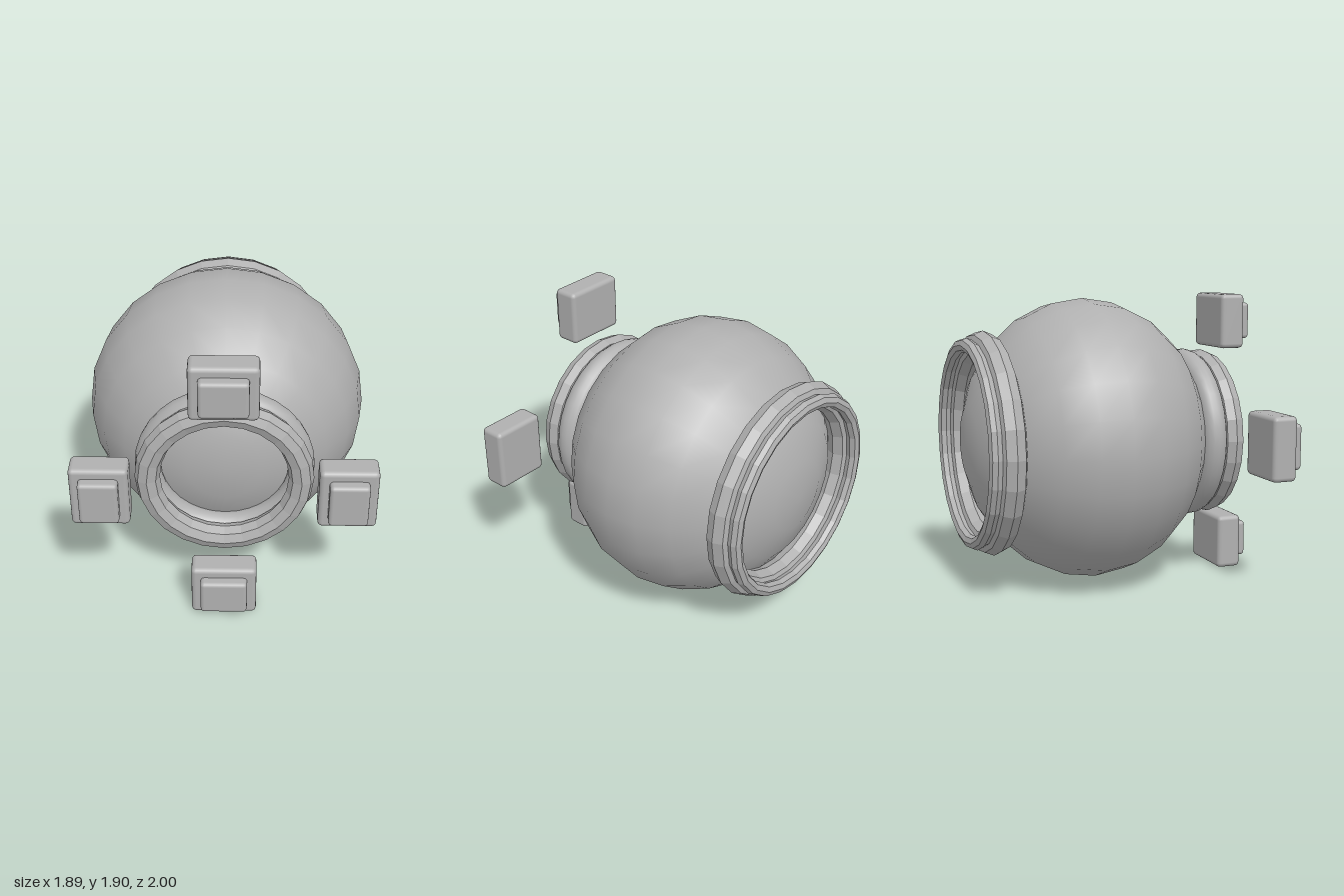
import * as THREE from 'three';
import { RoundedBoxGeometry } from 'three/addons/geometries/RoundedBoxGeometry.js';

const CY = 0.957; // height of the main axis

export function createModel() {
  const model = new THREE.Group();
  model.name = 'sphericalPod';

  const grey = new THREE.MeshStandardMaterial({ color: 0xb0b0b0 });
  grey.name = 'grey';
  // same grey, faceted for the bevelled collars
  const facetedGrey = new THREE.MeshStandardMaterial({ color: 0xb0b0b0, flatShading: true });
  facetedGrey.name = 'faceted grey';

  const add = (name, geometry, material, x, y, z, parent = model) => {
    const mesh = new THREE.Mesh(geometry, material);
    mesh.name = name;
    mesh.position.set(x, y, z);
    parent.add(mesh);
    return mesh;
  };

  // Body: sphere with its poles on z, flattened front to back
  const body = new THREE.SphereGeometry(0.93, 24, 12);
  body.rotateX(Math.PI / 2);
  body.scale(1, 1, 0.87);
  add('body', body, grey, 0, CY, -0.17);

  // Front collar: a soft ring behind an octagonal one
  add('frontSoftRing', new THREE.TorusGeometry(0.49, 0.083, 16, 32), grey, 0, CY, 0.573);
  add('frontRim', new THREE.TorusGeometry(0.485, 0.08, 8, 24), facetedGrey, 0, CY, 0.705);

  // Rear collar: a wide and a narrow octagonal ring
  add('rearCollar', new THREE.TorusGeometry(0.645, 0.087, 8, 24), facetedGrey, 0, CY, -0.848);
  add('rearRim', new THREE.TorusGeometry(0.643, 0.045, 8, 24), facetedGrey, 0, CY, -0.955);

  // Four floating blocks around the front, each with a raised pad
  const addBlock = (name, x, y, w, h) => {
    const block = new THREE.Group();
    block.name = name;
    block.position.set(x, y, 0);
    model.add(block);
    add('base', new RoundedBoxGeometry(w, h, 0.17, 2, 0.03), grey, 0, 0, 0.847, block);
    add('pad', new RoundedBoxGeometry(w - 0.12, h - 0.12, 0.12, 2, 0.025), grey, 0, 0, 0.94, block);
  };
  addBlock('topBlock', 0, 1.722, 0.42, 0.365);
  addBlock('bottomBlock', 0, 0.188, 0.42, 0.365);
  for (const side of [1, -1]) {
    addBlock(side > 0 ? 'leftBlock' : 'rightBlock', side * 0.764, 0.955, 0.365, 0.42);
  }

  return model;
}
